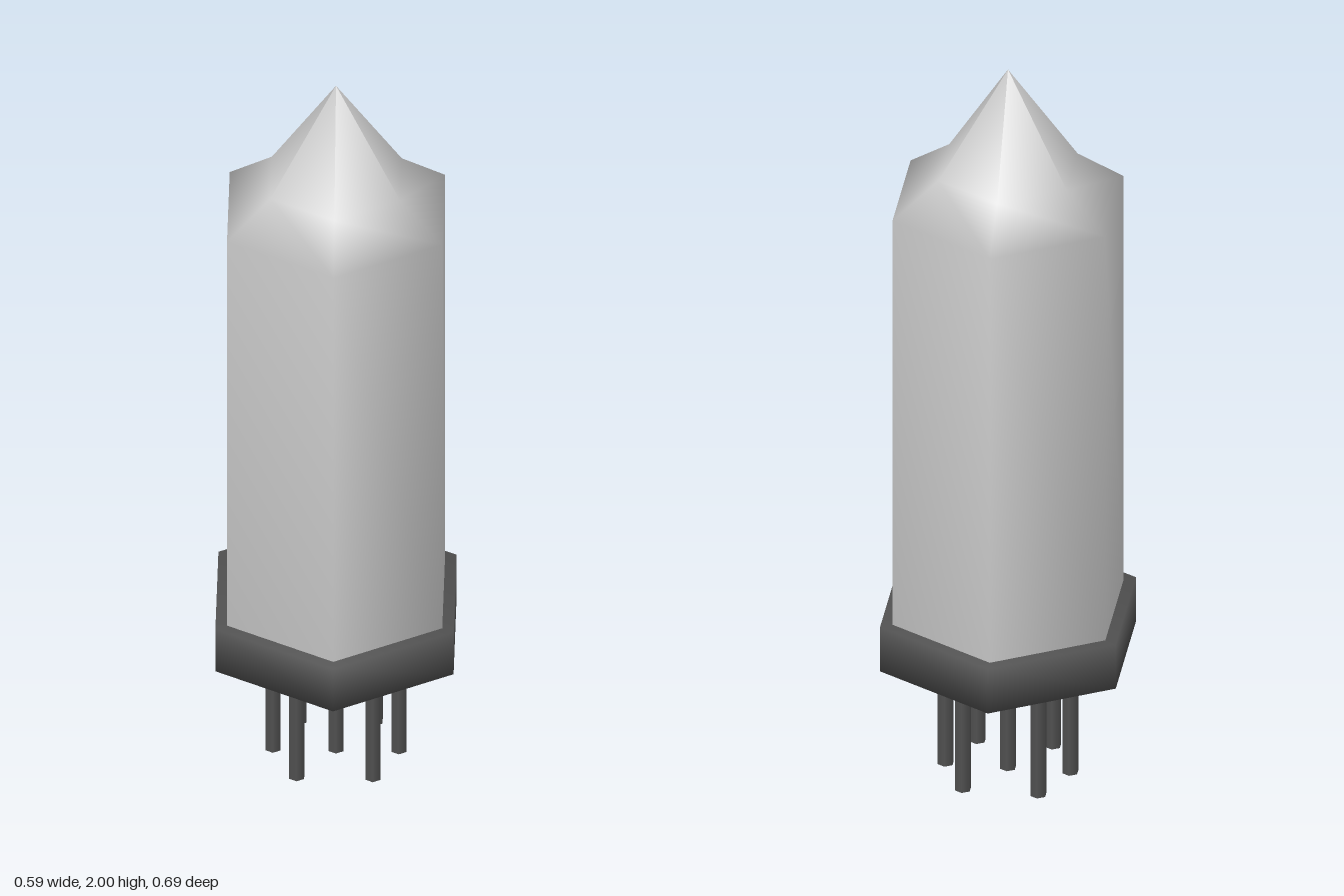
import * as THREE from 'three';

const SIDES = 6;

// Six-sided turned solid with a corner on the z axis
function turned(name, points, material) {
  const profile = points.map(([r, y]) => new THREE.Vector2(r, y));
  const mesh = new THREE.Mesh(new THREE.LatheGeometry(profile, SIDES), material);
  mesh.name = name;
  return mesh;
}

export function createModel() {
  const model = new THREE.Group();
  model.name = 'vacuumTube';
  const grey = new THREE.MeshStandardMaterial({ color: 0xcccccc });
  const dark = new THREE.MeshStandardMaterial({ color: 0x505050 });

  // Bulb: straight walls, sloped shoulder and pointed tip; its stem shows under the base
  model.add(turned('bulb', [
    [0, 0.344], [0.19, 0.344], [0.19, 0.45], [0.31, 0.45],
    [0.31, 1.63], [0.187, 1.72], [0, 2],
  ], grey));

  // Base collar
  model.add(turned('base', [
    [0, 0.346], [0.343, 0.346], [0.343, 0.473], [0, 0.473],
  ], dark));

  // Contact pins: one in the centre, six around it
  const pins = new THREE.Group();
  pins.name = 'pins';
  const pinGeometry = new THREE.CylinderGeometry(0.0215, 0.0215, 0.36, SIDES);
  const spots = [[0, 0], [0.157, 0], [-0.157, 0]];
  for (const x of [-0.095, 0.095]) for (const z of [-0.125, 0.125]) spots.push([x, z]);
  for (const [x, z] of spots) {
    const pin = new THREE.Mesh(pinGeometry, dark);
    pin.name = 'pin';
    pin.position.set(x, 0.18, z);
    pins.add(pin);
  }
  model.add(pins);
  return model;
}
